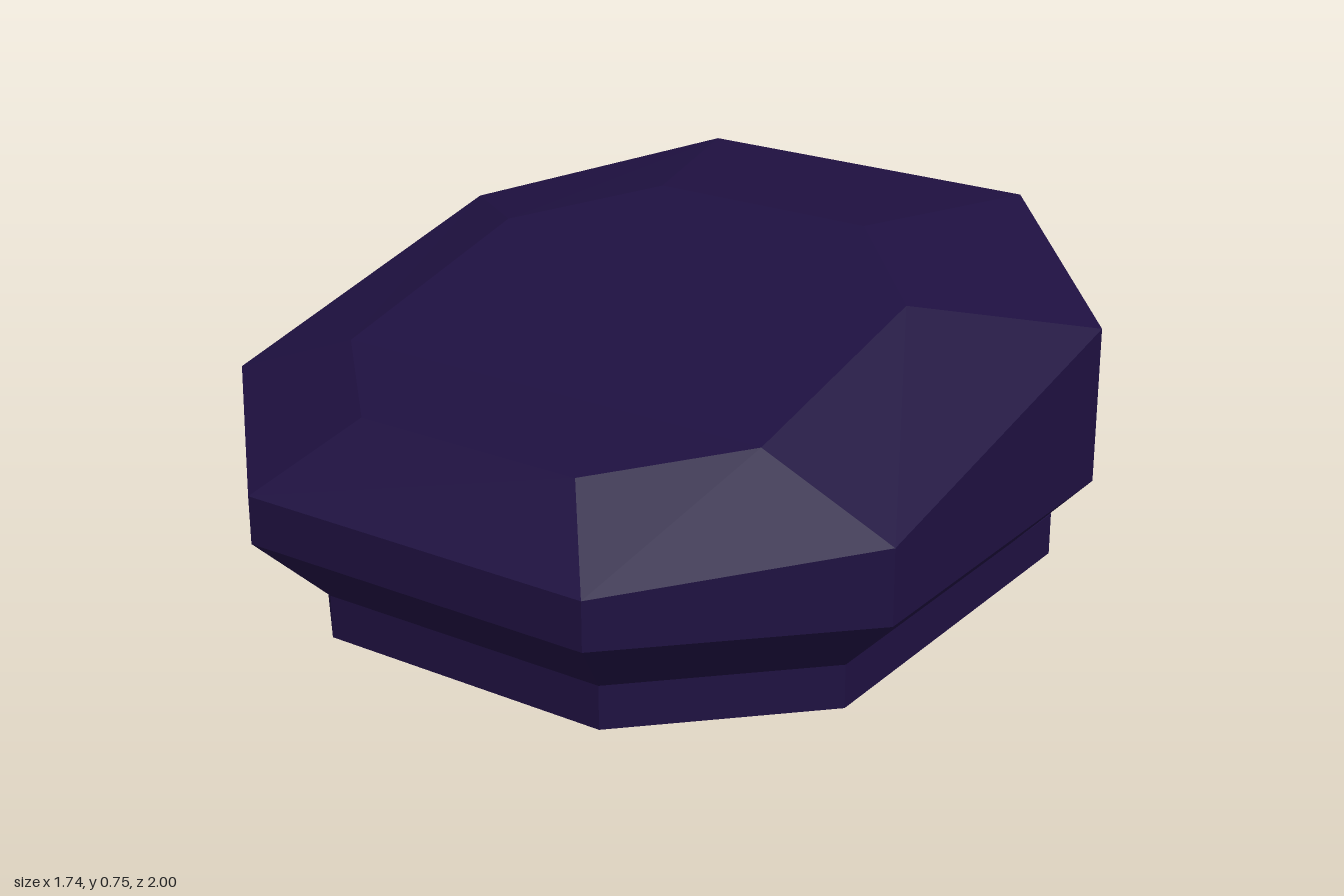
import * as THREE from 'three';

const material = new THREE.MeshStandardMaterial({ color: 0x1e1040, flatShading: true });

// Mirror half a ring of [x, y, z] points (front to back, x > 0) into a full ring
const fullRing = (half) => [...half, ...half.slice().reverse().map(([x, y, z]) => [-x, y, z])];

// Symmetric eight-sided ring from two half widths and four [y, z] stations
const octagon = (narrow, wide, stations) =>
  fullRing(stations.map(([y, z], i) => [i === 0 || i === 3 ? narrow : wide, y, z]));

function facetMesh(name, quads) {
  const pos = [];
  for (const q of quads) {
    for (let i = 1; i < q.length - 1; i++) pos.push(...q[0], ...q[i], ...q[i + 1]);
  }
  const geometry = new THREE.BufferGeometry();
  geometry.setAttribute('position', new THREE.Float32BufferAttribute(pos, 3));
  geometry.computeVertexNormals();
  const mesh = new THREE.Mesh(geometry, material);
  mesh.name = name;
  return mesh;
}

// Wall between two rings of equal size
const wall = (low, high) => low.map((p, i) => {
  const j = (i + 1) % low.length;
  return [p, low[j], high[j], high[i]];
});

// Cap of strips running across the mirror plane
const cap = (ring) => {
  const n = ring.length, faces = [];
  for (let i = 0; i < n / 2 - 1; i++) faces.push([ring[i], ring[i + 1], ring[n - 2 - i], ring[n - 1 - i]]);
  return faces;
};

const flip = (faces) => faces.map((f) => f.slice().reverse());
const mirror = (faces) => flip(faces.map((f) => f.map(([x, y, z]) => [-x, y, z])));

export function createModel() {
  const group = new THREE.Group();
  group.name = 'facetedCap';

  // Body: tapered underside, upright sides, sloping bevelled top
  const foot = octagon(0.36, 0.72, [[0.1, 0.85], [0.1, 0.49], [0.1, -0.23], [0.1, -0.59]]);
  const waist = octagon(0.435, 0.87, [[0.26, 1], [0.26, 0.565], [0.26, -0.31], [0.26, -0.745]]);
  const rim = octagon(0.435, 0.87, [[0.37, 1], [0.43, 0.565], [0.62, -0.31], [0.74, -0.745]]);
  const crown = octagon(0.28, 0.545, [[0.52, 0.81], [0.557, 0.545], [0.692, -0.02], [0.755, -0.28]]);
  group.add(
    facetMesh('underside', [...wall(foot, waist), ...flip(cap(foot))]),
    facetMesh('sides', wall(waist, rim)),
    facetMesh('bevel', wall(rim, crown)),
    facetMesh('topPanel', cap(crown)),
  );

  // Base plate: octagonal at the front, pointed with a raised ridge at the back
  const half = [[0.36, 0.1, 0.85], [0.72, 0.1, 0.49], [0.72, 0.1, -0.42], [0.37, 0.1, -0.79]];
  const tip = [0, 0.16, -1];
  const ridge = [0, 0.16, -0.59];
  const corner = [0.36, 0.1, -0.59];
  const ring = fullRing(half);
  ring.splice(4, 0, tip);
  const ground = ring.map(([x, , z]) => [x, 0, z]);
  const sideTop = [
    [half[2], half[3], corner],
    [corner, half[3], tip],
    [corner, tip, ridge],
  ];
  group.add(facetMesh('basePlate', [
    ...wall(ground, ring),
    ground.slice().reverse(),
    ...cap(fullRing([...half.slice(0, 3), corner])),
    ...sideTop,
    ...mirror(sideTop),
  ]));

  return group;
}
